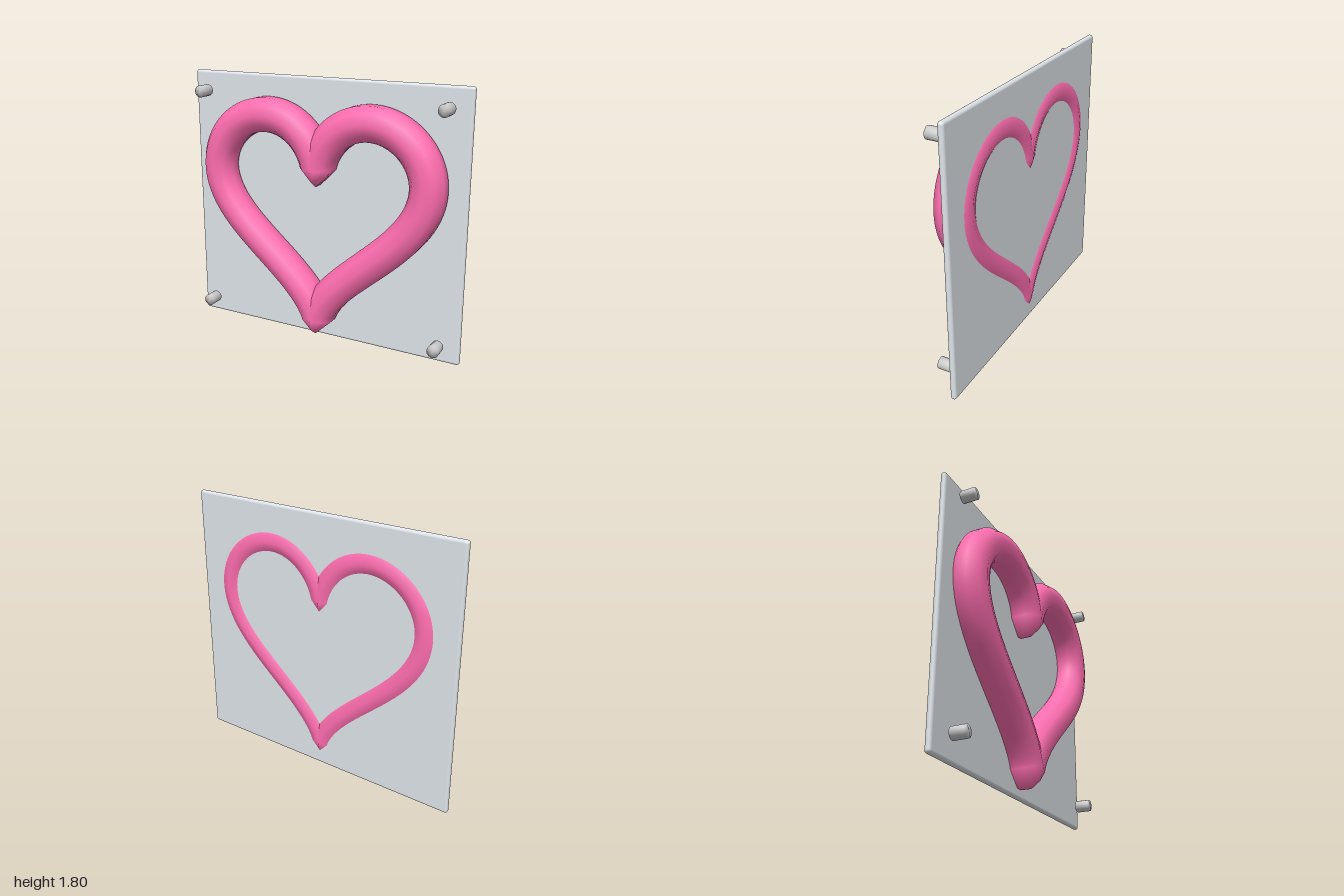
import * as THREE from 'three';
import { mergeVertices } from 'three/addons/utils/BufferGeometryUtils.js';
import { RoundedBoxGeometry } from 'three/addons/geometries/RoundedBoxGeometry.js';

// Heart outline in the xy plane, with cusps at the notch and the tip
class HeartCurve extends THREE.Curve {
  constructor(scale, tipY) {
    super();
    this.scale = scale;
    this.tipY = tipY;
    this.arcLengthDivisions = 1200;
  }

  getPoint(u, target = new THREE.Vector3()) {
    const t = u * Math.PI * 2;
    const x = 16 * Math.sin(t) ** 3;
    const y = 13 * Math.cos(t) - 5 * Math.cos(2 * t) - 2 * Math.cos(3 * t) - Math.cos(4 * t);
    return target.set(x * this.scale, (y + 17) * this.scale + this.tipY, 0);
  }

  // At the cusps the tube section lies in the mirror plane
  getTangent(u, target = new THREE.Vector3()) {
    if (u < 1e-3 || u > 1 - 1e-3) return target.set(1, 0, 0);
    if (Math.abs(u - 0.5) < 1e-3) return target.set(-1, 0, 0);
    return super.getTangent(u, target);
  }
}

// Short peg along z, shaded softly over its rim
function pegGeometry(radius, length) {
  const geometry = new THREE.CylinderGeometry(radius, radius, length, 24);
  geometry.deleteAttribute('normal');
  geometry.deleteAttribute('uv');
  const merged = mergeVertices(geometry);
  merged.computeVertexNormals();
  return merged.rotateX(Math.PI / 2);
}

export function createModel() {
  const model = new THREE.Group();
  model.name = 'heartSign';

  const add = (name, geometry, color, x = 0, y = 0, z = 0) => {
    const mesh = new THREE.Mesh(geometry, new THREE.MeshStandardMaterial({ color }));
    mesh.name = name;
    mesh.position.set(x, y, z);
    model.add(mesh);
  };

  // Back plate
  add('backPlate', new RoundedBoxGeometry(2, 1.8, 0.04, 4, 0.019), 0xdde3e8, 0, 0.9, -0.08);

  // Heart tube, sunk through the plate
  add('heartTube', new THREE.TubeGeometry(new HeartCurve(0.0478, 0.16), 240, 0.12, 10, false), 0xff6eb0);

  // Corner pegs
  const peg = pegGeometry(0.04, 0.094);
  for (const [side, x] of [['Left', 0.867], ['Right', -0.867]]) {
    for (const [level, y] of [['upper', 1.67], ['lower', 0.135]]) {
      add(`${level}${side}Peg`, peg, 0xcccccc, x, y, 0.036);
    }
  }

  return model;
}
